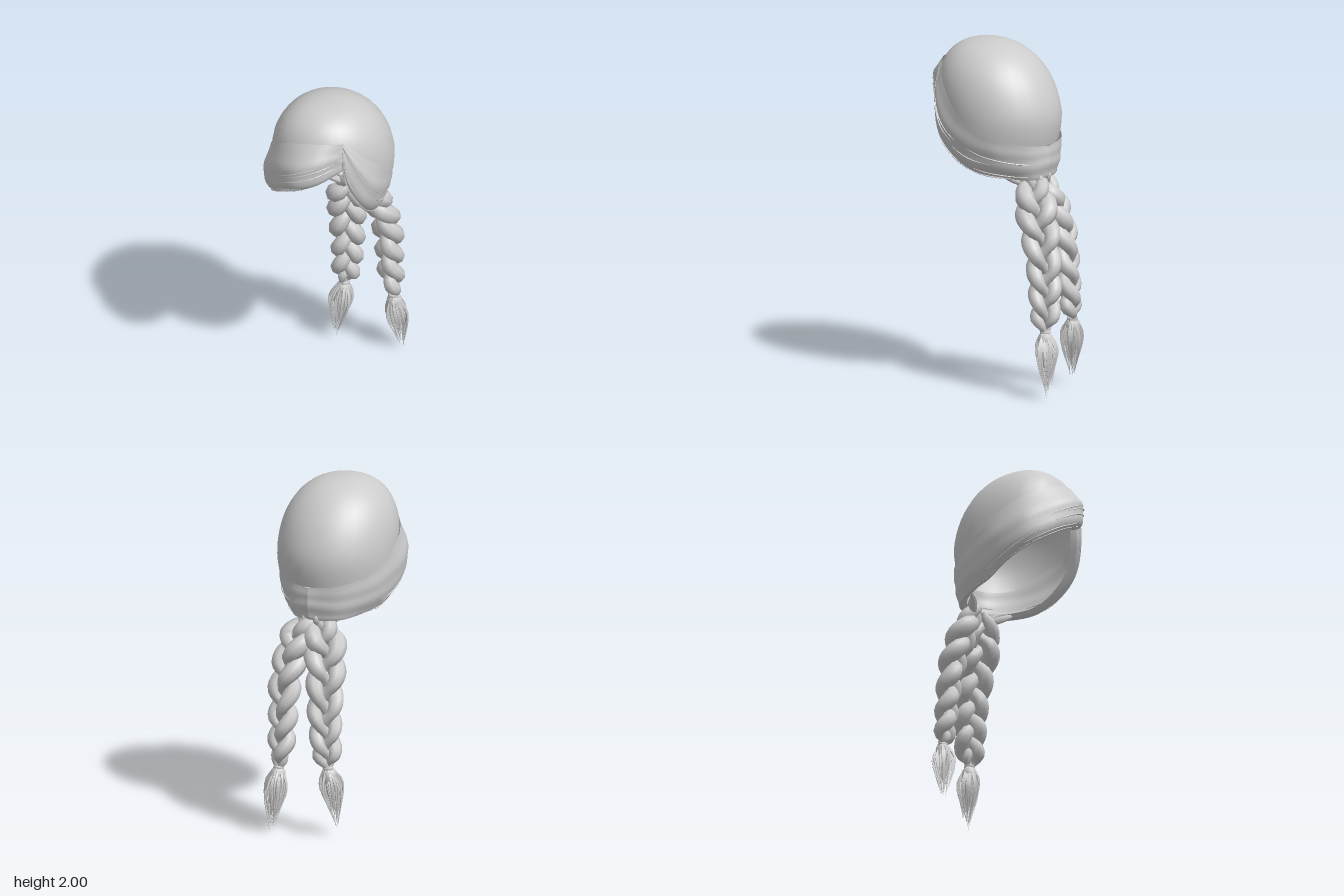
import * as THREE from 'three';
import { toCreasedNormals } from 'three/addons/utils/BufferGeometryUtils.js';

const V = (x, y, z) => new THREE.Vector3(x, y, z);
const material = new THREE.MeshStandardMaterial({ color: 0xcccccc, side: THREE.DoubleSide });

let seed = 7;
const rand = () => (seed = (seed * 16807) % 2147483647) / 2147483647;
const spread = (a) => (rand() * 2 - 1) * a;

const curve = (pts) => new THREE.CatmullRomCurve3(pts.map((p) => (p.isVector3 ? p : V(...p))));

function addMesh(parent, name, geometry, crease = 1.1) {
  const mesh = new THREE.Mesh(toCreasedNormals(geometry, crease), material);
  mesh.name = name;
  parent.add(mesh);
  return mesh;
}

// Surface through equally long rows of points
function loft(rows) {
  const n = rows[0].length, index = [];
  for (let i = 0; i < rows.length - 1; i++) {
    for (let j = 0; j < n - 1; j++) {
      const a = i * n + j, b = a + n;
      index.push(a, b, a + 1, b, b + 1, a + 1);
    }
  }
  const g = new THREE.BufferGeometry().setFromPoints(rows.flat());
  g.setIndex(index);
  return g;
}

// Tube whose radius follows radius(t) along the path
function lock(points, radius, segments, sides) {
  const path = curve(points);
  const g = new THREE.TubeGeometry(path, segments, 1, sides);
  const pos = g.attributes.position, v = V(0, 0, 0);
  for (let i = 0; i <= segments; i++) {
    const c = path.getPointAt(i / segments), r = radius(i / segments);
    for (let j = 0; j <= sides; j++) {
      const k = i * (sides + 1) + j;
      v.fromBufferAttribute(pos, k).sub(c).multiplyScalar(r).add(c);
      pos.setXYZ(k, v.x, v.y, v.z);
    }
  }
  return g;
}

// Rounded crown, fuller at the right brow, its rim high in front and low at the nape
function crown() {
  const rows = [];
  for (let i = 0; i <= 16; i++) {
    const row = [];
    for (let j = 0; j <= 32; j++) {
      const a = (j / 32) * Math.PI * 2, sin = Math.sin(a), cos = Math.cos(a);
      const rim = Math.asin((0.03 + 0.2 * cos - 0.07 * sin * sin) / 0.4);
      const s = Math.sin(Math.PI / 2 + (rim - Math.PI / 2) * (i / 16));
      const r = Math.pow(Math.max(0, 1 - Math.pow(Math.abs(s), 2.3)), 1 / 2.3);
      const n = cos > 0 && sin < 0 ? 2.4 : 2;
      const q = r / Math.pow(Math.pow(Math.abs(sin), n) + Math.pow(Math.abs(cos), n), 1 / n);
      row.push(V(0.333 * q * sin, 1.6 + 0.4 * s, 0.03 + 0.09 * Math.max(0, s) + 0.36 * q * cos));
    }
    rows.push(row);
  }
  return loft(rows);
}

// Swept band between an upper and a lower edge, bulging through a middle line
function band(parent, name, upper, middle, lower) {
  const edges = [upper, middle, lower].map(curve);
  const point = (t, s, lift) => {
    const [u, m, l] = edges.map((e) => e.getPoint(t));
    const lip = V(l.x * 0.86, l.y + 0.025, l.z * 0.88);
    const p = curve([u, m, l, lip]).getPoint(s);
    return p.addScaledVector(V(p.x, 0, p.z).normalize(), lift);
  };
  const group = new THREE.Group();
  group.name = name;
  const rows = [];
  for (let i = 0; i <= 40; i++) {
    const t = i / 40, row = [];
    for (let j = 0; j <= 18; j++) {
      const s = j / 18;
      row.push(point(t, s, 0.004 * Math.sin(s * 24 + t * 5) * Math.sin(Math.PI * s)));
    }
    rows.push(row);
  }
  addMesh(group, name + 'Surface', loft(rows), 0.9);
  // Fine loose strands, densest along the lower edge
  for (let k = 0; k < 14; k++) {
    const s0 = 0.72 - 0.5 * rand() * rand(), t0 = rand() * 0.6, len = 0.2 + rand() * 0.2, slope = spread(0.05);
    const pts = [0, 1, 2, 3, 4].map((i) => point(t0 + (len * i) / 4, s0 + (slope * i) / 4, 0.002));
    addMesh(group, 'looseStrand', lock(pts, (t) => 0.001 + 0.003 * Math.sin(Math.PI * t), 12, 4));
  }
  parent.add(group);
}

// Three crossing locks, a tie and a tassel; turn is the angle of the braid's flat side
function braid(parent, name, points, tip, turn) {
  const group = new THREE.Group();
  group.name = name;
  const path = curve(points), up = V(0, 1, 0);
  for (let k = 0; k < 3; k++) {
    const phase = (t) => Math.PI * 2 * (t * 2.05 + k / 3);
    const pts = [];
    for (let i = 0; i <= 36; i++) {
      const t = i / 36, a = phase(t);
      const gather = Math.min(1, 0.3 + t * 4, 0.2 + (1 - t) * 9);
      const offset = V((0.08 - 0.036 * t) * Math.sin(a), 0, (0.036 - 0.01 * t) * Math.sin(2 * a));
      pts.push(path.getPoint(t).addScaledVector(offset.applyAxisAngle(up, turn), gather));
    }
    const radius = (t) => Math.min(1, 0.55 + t * 3, 0.35 + (1 - t) * 8)
      * (0.056 - 0.018 * t) * (0.66 + 0.42 * Math.abs(Math.sin(phase(t))));
    addMesh(group, 'braidLock', lock(pts, radius, 54, 8));
  }
  const neck = path.getPoint(1), end = V(...tip);
  const tie = addMesh(group, 'tie', new THREE.TorusGeometry(0.023, 0.009, 8, 16).rotateX(Math.PI / 2));
  tie.position.copy(neck);

  // Tassel core with a brush of tapering strands around it
  const mid = neck.clone().lerp(end, 0.3);
  const core = [neck, mid, neck.clone().lerp(end, 0.7)];
  addMesh(group, 'tasselCore', lock(core, (t) => 0.003 + 0.018 * (1 - t) + 0.028 * Math.sin(Math.PI * Math.sqrt(t)), 12, 9));
  for (let i = 0; i < 48; i++) {
    const a = i * 2.4, r = 0.03 + 0.042 * rand();
    const dx = Math.cos(a), dz = Math.sin(a);
    const stop = i === 0 ? 1 : 0.5 + 0.46 * rand();
    const swell = mid.clone().add(V(dx * r, spread(0.03), dz * r));
    const low = neck.clone().lerp(end, stop);
    const drift = i === 0 ? 0 : 0.06 * (1.05 - stop);
    low.add(V(dx * drift + spread(0.008), 0, dz * drift + spread(0.008)));
    const start = neck.clone().add(V(dx * 0.018, 0, dz * 0.018));
    addMesh(group, 'tasselStrand', lock([start, swell, low], (t) => 0.0005 + 0.0085 * Math.pow(1 - t, 0.7), 9, 4));
  }
  parent.add(group);
}

export function createModel() {
  const hair = new THREE.Group();
  hair.name = 'braidedHair';
  addMesh(hair, 'crown', crown());

  // Fringe from the parting across the brow and round the right side
  band(hair, 'fringe',
    [[0.2, 1.87, 0.295], [0.1, 1.875, 0.365], [0, 1.865, 0.39], [-0.1, 1.835, 0.385], [-0.2, 1.785, 0.345], [-0.29, 1.705, 0.26],
      [-0.33, 1.62, 0.12], [-0.32, 1.55, -0.01], [-0.28, 1.49, -0.14], [-0.17, 1.45, -0.28], [0, 1.43, -0.32]],
    [[0.2, 1.79, 0.31], [0.1, 1.765, 0.44], [0, 1.73, 0.483], [-0.1, 1.685, 0.467], [-0.2, 1.625, 0.415], [-0.305, 1.545, 0.33],
      [-0.342, 1.47, 0.2], [-0.33, 1.41, 0.05], [-0.29, 1.37, -0.1], [-0.17, 1.34, -0.27], [0, 1.34, -0.328]],
    [[0.2, 1.69, 0.29], [0.1, 1.63, 0.42], [0, 1.59, 0.467], [-0.1, 1.54, 0.44], [-0.2, 1.47, 0.38], [-0.27, 1.4, 0.28],
      [-0.29, 1.34, 0.17], [-0.28, 1.28, 0.05], [-0.24, 1.26, -0.1], [-0.15, 1.24, -0.25], [0, 1.24, -0.3]]);

  // Left side band from the parting to the nape
  band(hair, 'leftBand',
    [[0.2, 1.87, 0.295], [0.262, 1.8, 0.25], [0.315, 1.7, 0.16], [0.334, 1.62, 0.08], [0.323, 1.55, -0.03],
      [0.275, 1.49, -0.155], [0.15, 1.45, -0.285], [0, 1.43, -0.32]],
    [[0.2, 1.86, 0.31], [0.282, 1.7, 0.28], [0.328, 1.55, 0.2], [0.33, 1.46, 0.1], [0.311, 1.4, 0],
      [0.25, 1.36, -0.16], [0.13, 1.34, -0.288], [0, 1.34, -0.328]],
    [[0.2, 1.83, 0.32], [0.22, 1.64, 0.32], [0.27, 1.45, 0.25], [0.27, 1.33, 0.13], [0.25, 1.27, 0],
      [0.2, 1.25, -0.13], [0.1, 1.24, -0.27], [0, 1.24, -0.3]]);

  // Locks gathered at the nape into the braid roots
  for (const side of [1, -1]) {
    for (let i = 0; i < 6; i++) {
      const x = side * (0.2 - 0.03 * i), z = -0.13 - 0.026 * i;
      const pts = [[x, 1.275, z], [x * 0.7, 1.25 + spread(0.012), z - 0.03], [side * 0.05, 1.18 + spread(0.02), -0.24]];
      addMesh(hair, 'napeLock', lock(pts, (t) => 0.005 + 0.017 * Math.sin(Math.PI * t), 10, 6));
    }
  }

  braid(hair, 'rightBraid', [[-0.03, 1.26, -0.23], [-0.085, 1.1, -0.28], [-0.12, 0.92, -0.335], [-0.13, 0.72, -0.36],
    [-0.14, 0.55, -0.37], [-0.155, 0.4, -0.37]], [-0.195, 0.04, -0.335], 0.6);
  braid(hair, 'leftBraid', [[0.03, 1.26, -0.23], [0.09, 1.1, -0.295], [0.12, 0.92, -0.36], [0.125, 0.72, -0.39],
    [0.13, 0.55, -0.4], [0.14, 0.38, -0.41]], [0.17, 0, -0.455], -0.6);
  return hair;
}
